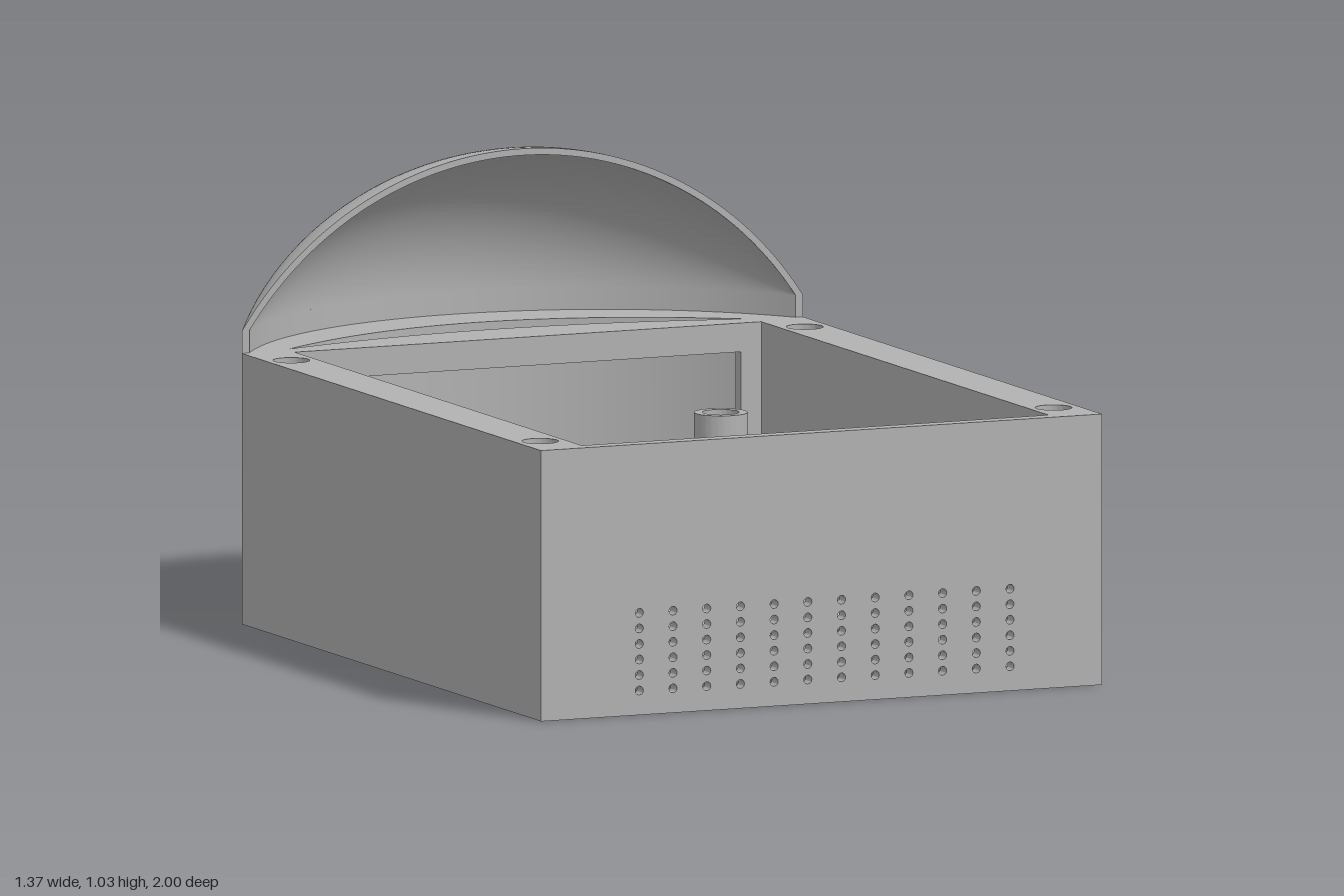
import * as THREE from 'three';
import { toCreasedNormals } from 'three/addons/utils/BufferGeometryUtils.js';

const W = 0.685, BACK = 0.63;      // half width, distance of the straight back edge behind centre
const R = 0.819, C = 0.181;        // radius and centre of the rounded back (measured along -z)
const FLOOR = 0.03, TOP = 0.61, SPRING = 0.66, SKIN = 0.015;

const rect = (x0, y0, x1, y1, Type = THREE.Shape) => {
  const s = new Type();
  s.moveTo(x0, y0); s.lineTo(x1, y0); s.lineTo(x1, y1); s.lineTo(x0, y1); s.closePath();
  return s;
};
const circle = (x, y, r, Type = THREE.Path) => new Type().absarc(x, y, r, 0, Math.PI * 2, false);
const startAngle = (r) => Math.asin((BACK - C) / r);

// Crescent between two radii, ending on the straight back edge
function crescent(outer, inner) {
  const a = startAngle(outer), b = startAngle(inner);
  const s = new THREE.Shape();
  s.absarc(0, C, outer, a, Math.PI - a, false);
  s.absarc(0, C, inner, Math.PI - b, b, true);
  s.closePath();
  return s;
}

export function createModel() {
  const group = new THREE.Group();
  const grey = new THREE.MeshStandardMaterial({ color: 0xb2b2b2 });
  grey.name = 'grey plastic';

  const add = (name, geometry) => {
    const mesh = new THREE.Mesh(geometry, grey);
    mesh.name = name;
    group.add(mesh);
    return mesh;
  };
  const extrude = (shape, depth) => toCreasedNormals(
    new THREE.ExtrudeGeometry(shape, { depth, bevelEnabled: false, curveSegments: 32 }), 0.5);
  // Plan shape (x, -z) raised from y0 to y1
  const slab = (name, shape, y0, y1) =>
    add(name, extrude(shape, y1 - y0).rotateX(-Math.PI / 2).translate(0, y0, 0));
  // Elevation shape (x, y) running from z0 to z1
  const upright = (name, shape, z0, z1) =>
    add(name, extrude(shape, z1 - z0).translate(0, 0, z0));

  // Floor with large opening and keyhole
  const a = startAngle(R);
  const floor = new THREE.Shape();
  floor.moveTo(-W, -1);
  floor.lineTo(W, -1);
  floor.absarc(0, C, R, a, Math.PI - a, false);
  floor.closePath();
  floor.holes.push(rect(-0.52, -0.95, 0.52, 0.01, THREE.Path));
  const key = new THREE.Path(), k = Math.asin(0.025 / 0.055);
  key.absarc(0, 0.32, 0.025, 0, Math.PI, false);
  key.absarc(0, 0.12, 0.055, Math.PI / 2 + k, Math.PI * 2.5 - k, false);
  key.closePath();
  floor.holes.push(key);
  slab('floor', floor, 0, FLOOR);

  // Closed pocket over the keyhole
  const pocket = rect(-0.068, 0.055, 0.068, 0.4);
  pocket.holes.push(rect(-0.056, 0.062, 0.056, 0.388, THREE.Path));
  slab('keyholePocketWall', pocket, FLOOR, 0.07);
  slab('keyholePocketLid', rect(-0.068, 0.055, 0.068, 0.4), 0.07, 0.082);

  // Thick side walls with screw holes
  for (const side of [-1, 1]) {
    const wall = rect(Math.min(side * 0.57, side * W), -1, Math.max(side * 0.57, side * W), BACK);
    for (const s of [-0.865, 0.49]) wall.holes.push(circle(side * 0.627, s, 0.041));
    slab(side > 0 ? 'leftWall' : 'rightWall', wall, FLOOR, TOP);
  }

  // Front wall with a grid of vent holes
  const front = rect(-0.57, FLOOR, 0.57, TOP);
  for (let i = 0; i < 12; i++) {
    for (let j = 0; j < 6; j++) {
      const hole = new THREE.Path();
      for (let n = 0; n < 12; n++) {
        const t = n * Math.PI / 6, x = -0.445 + i * 0.0823, y = 0.055 + j * 0.035;
        hole[n ? 'lineTo' : 'moveTo'](x + 0.01 * Math.cos(t), y + 0.01 * Math.sin(t));
      }
      hole.closePath();
      front.holes.push(hole);
    }
  }
  upright('frontWall', front, 0.965, 1);

  // Inner back wall with a wide window
  const back = rect(-0.57, FLOOR, 0.57, TOP);
  back.holes.push(rect(-0.52, FLOOR + 0.001, 0.52, 0.545, THREE.Path));
  upright('backFrame', back, -BACK, -0.6);

  // Rounded rear wall
  slab('roundedBackWall', crescent(R, R - SKIN), FLOOR, SPRING);

  // Shelf under the dome with a crescent slot
  const r = R - SKIN / 2, b = startAngle(r);
  const shelf = new THREE.Shape();
  shelf.absarc(0, C, r, b, Math.PI - b, false);
  shelf.closePath();
  const slot = new THREE.Path();
  slot.moveTo(0.56, BACK + 0.02);
  slot.quadraticCurveTo(0, BACK + 0.42, -0.56, BACK + 0.02);
  slot.quadraticCurveTo(0, BACK + 0.2, 0.56, BACK + 0.02);
  shelf.holes.push(slot);
  slab('slottedShelf', shelf, TOP - 0.03, TOP);

  // Quarter dome: the rounded outline turned about its chord
  const profile = (rad) => {
    const t0 = startAngle(rad), pts = [];
    for (let i = 0; i <= 48; i++) {
      const t = Math.PI - t0 - (i / 48) * (Math.PI - 2 * t0);
      pts.push(new THREE.Vector2(Math.max(0, rad * Math.sin(t) + C - BACK), rad * Math.cos(t)));
    }
    return pts;
  };
  const dome = (name, pts) => add(name,
    new THREE.LatheGeometry(pts, 32, Math.PI, Math.PI / 2)
      .rotateZ(-Math.PI / 2).translate(0, SPRING, -BACK));
  dome('domeOutside', profile(R));
  dome('domeInside', profile(R - SKIN).reverse());
  add('domeRim', new THREE.ShapeGeometry(crescent(R, R - SKIN), 48)
    .translate(0, SPRING - BACK, -BACK));

  // Hollow mounting posts on the floor, and one on the rear wall
  const ring = (x, y) => {
    const s = circle(x, y, 0.06, THREE.Shape);
    s.holes.push(circle(x, y, 0.041));
    return s;
  };
  for (const x of [-0.395, 0.422]) {
    for (const s of [0.09, 0.49]) slab('mountingPost', ring(x, s), FLOOR, 0.43);
  }
  upright('rearTube', ring(0, 0.295), -0.988, -0.77);

  return group;
}
